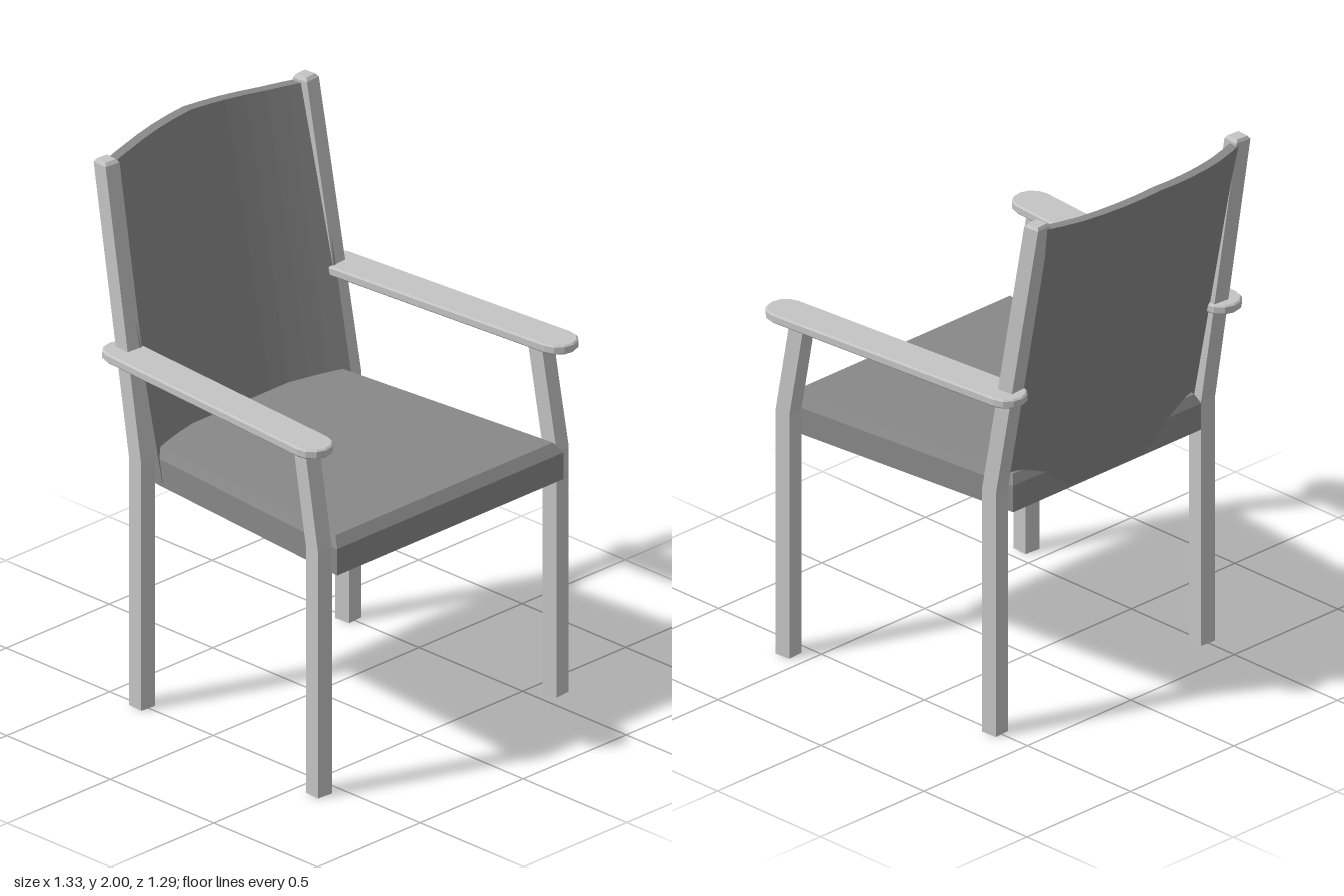
import * as THREE from 'three';

// Skin convex rings of equal size; each ring runs counter-clockwise seen from the loft's far end.
function loft(rings) {
  const pos = [];
  const n = rings[0].length;
  const tri = (a, b, c) => pos.push(...a, ...b, ...c);
  for (let k = 0; k < rings.length - 1; k++) {
    for (let i = 0; i < n; i++) {
      const j = (i + 1) % n;
      tri(rings[k][i], rings[k][j], rings[k + 1][j]);
      tri(rings[k][i], rings[k + 1][j], rings[k + 1][i]);
    }
  }
  const last = rings[rings.length - 1];
  for (let i = 1; i < n - 1; i++) {
    tri(rings[0][0], rings[0][i + 1], rings[0][i]);
    tri(last[0], last[i], last[i + 1]);
  }
  const g = new THREE.BufferGeometry();
  g.setAttribute('position', new THREE.Float32BufferAttribute(pos, 3));
  g.computeVertexNormals();
  return g;
}

// Horizontal square section, turned by angle a about the vertical.
function square(x, y, z, half, a) {
  const c = Math.cos(a), s = Math.sin(a);
  return [[-1, 1], [1, 1], [1, -1], [-1, -1]].map(([u, w]) =>
    [x + half * (u * c + w * s), y, z + half * (w * c - u * s)]);
}

// Horizontal trapezoid section for the seat.
function trapezoid(y, front, back, inset) {
  const half = (z) => 0.505 + 0.092 * (z - 0.165) - inset;
  const f = half(front), b = half(back);
  return [[-f, y, front], [f, y, front], [b, y, back], [-b, y, back]];
}

export function createModel() {
  const model = new THREE.Group();
  model.name = 'armchair';
  const frame = new THREE.MeshStandardMaterial({ color: 0xc4c4c4, flatShading: true });
  frame.name = 'light grey frame';
  const cushion = new THREE.MeshStandardMaterial({ color: 0x888888, flatShading: true });
  cushion.name = 'mid grey upholstery';

  const add = (name, geometry, material) => {
    const mesh = new THREE.Mesh(geometry, material);
    mesh.name = name;
    model.add(mesh);
  };

  // Seat with chamfered top edges
  add('seat', loft([
    trapezoid(0.835, 0.648, -0.385, 0),
    trapezoid(0.935, 0.648, -0.385, 0),
    trapezoid(0.97, 0.618, -0.367, 0.018),
  ]), cushion);

  // Curved, reclined backrest, skinned from side to side
  const backRings = [];
  const steps = 12, bottom = 0.85, thick = 0.038;
  for (let i = 0; i <= steps; i++) {
    const t = (i / steps) * 2 - 1;
    const top = 1.978 + 0.02 * Math.max(0, 1 - Math.abs(t) / 0.7);
    const point = (y, depth) => {
      const x = t * (0.468 + 0.017 * (y - bottom) / 1.13);
      const z = -0.362 - 0.215 * (y - bottom) + 0.08 * (x / 0.455) ** 2 - depth;
      return [x, y, z];
    };
    backRings.push([point(bottom, 0), point(bottom, thick), point(top, thick), point(top, 0)]);
  }
  add('backrest', loft(backRings), cushion);

  for (const s of [1, -1]) {
    const side = s > 0 ? 'left' : 'right';
    const a = s * 0.075, h = 0.0315;

    // Front leg bends back towards the armrest
    add(side + 'FrontLeg', loft([
      square(s * 0.575, 0, 0.585, h, a),
      square(s * 0.575, 0.93, 0.585, h, a),
      square(s * 0.571, 1.305, 0.517, h, a),
    ]), frame);

    // Rear leg continues upward as the reclined back post, with a chamfered tip
    add(side + 'RearLeg', loft([
      square(s * 0.5, 0, -0.343, h, a),
      square(s * 0.5, 0.93, -0.343, h, a),
      square(s * 0.484, 1.988, -0.531, h, a),
      square(s * 0.484, 2.0, -0.533, h - 0.008, a),
    ]), frame);

    // Armrest: a splayed plank with rounded ends and a fine bevel
    const r = 0.066, outline = [];
    for (const [cx, cz, start] of [[0.595, 0.575, 0], [0.518, -0.418, Math.PI]]) {
      for (let i = 0; i <= 6; i++) {
        const q = start + (i / 6) * Math.PI - 0.075;
        outline.push(new THREE.Vector2(s * (cx + r * Math.cos(q)), -(cz + r * Math.sin(q))));
      }
    }
    const arm = new THREE.ExtrudeGeometry(new THREE.Shape(outline), {
      depth: 0.023, bevelEnabled: true, bevelThickness: 0.006, bevelSize: 0.006, bevelSegments: 1,
    });
    arm.rotateX(-Math.PI / 2).translate(0, 1.302, 0);
    add(side + 'Armrest', arm, frame);
  }
  return model;
}
